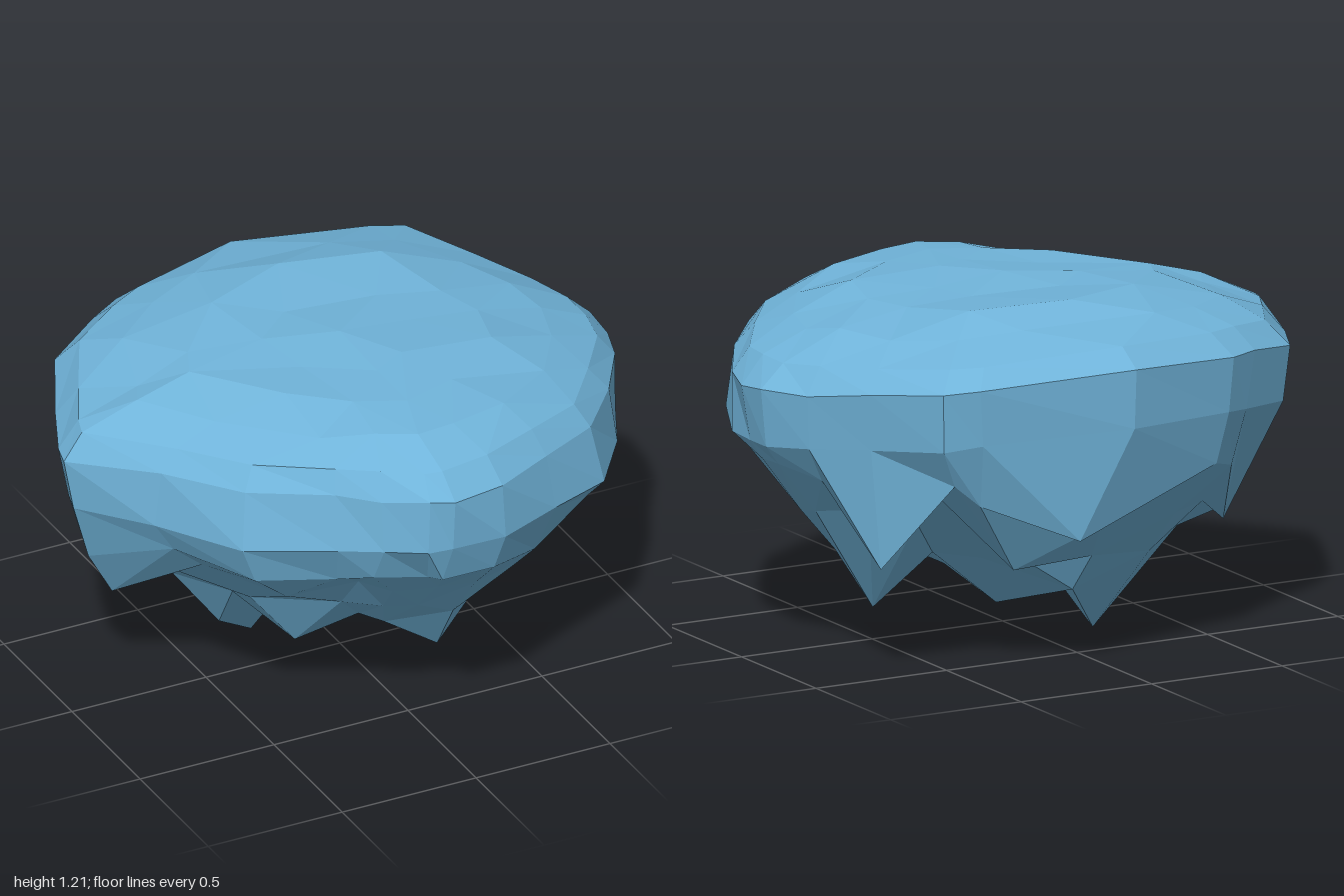
import * as THREE from 'three';

// Rim outline seen from above, as x,z pairs running from +x towards +z
const OUTLINE = [
  [1, 0], [0.97, 0.15], [0.85, 0.4], [0.67, 0.64], [0.42, 0.77], [0.18, 0.87],
  [-0.02, 0.89], [-0.1, 0.87], [-0.24, 0.79], [-0.37, 0.69], [-0.63, 0.5], [-0.8, 0.22],
  [-1, -0.06], [-0.98, -0.14], [-0.9, -0.32], [-0.76, -0.6], [-0.55, -0.73], [-0.43, -0.8],
  [0, -0.9], [0.54, -0.8], [0.66, -0.76], [0.8, -0.52], [0.92, -0.3], [1, -0.13],
];

// Rings from top centre to bottom centre:
// outline scale, height, point count, jitter, change of scale at the front corners
const RINGS = [
  [0, 1.195, 1, 0, 0], [0.27, 1.195, 7, 0.03, 0], [0.52, 1.19, 12, 0.03, 0],
  [0.75, 1.15, 18, 0.025, 0], [0.92, 1.09, 24, 0.012, -0.04], [1, 1.015, 24, 0, -0.06],
  [0.975, 0.82, 24, 0.012, 0.025], [0.91, 0.68, 24, 0.025, 0.02], [0.77, 0.57, 20, 0.03, 0],
  [0.6, 0.43, 16, 0.03, 0], [0.42, 0.3, 12, 0.03, 0], [0.2, 0.22, 7, 0.03, 0],
  [0, 0.19, 1, 0, 0],
];
const LIP = 7;

// Hanging spikes and ledge corners: tip x, y, z and steepness
const SPIKES = [
  [-0.22, 0, -0.22, 1.1], [0.11, 0.11, -0.15, 1], [-0.37, 0.1, -0.16, 1.1],
  [0.18, 0.14, 0.36, 1.15], [0.52, 0.12, -0.04, 1.25], [-0.27, 0.19, 0.2, 1],
  [-0.8, 0.36, -0.1, 1.3], [-0.7, 0.37, -0.27, 1.2], [-0.6, 0.37, -0.43, 1.3],
  [0.74, 0.37, -0.48, 1.9], [0.17, 0.47, -0.82, 1], [0.3, 0.34, -0.6, 1],
  [0, 0.21, -0.47, 1],
];

function seeded(seed) {
  return () => {
    seed = (seed * 16807) % 2147483647;
    return seed / 2147483647 - 0.5;
  };
}

// Point on the closed outline at fraction t
function outlineAt(t) {
  const u = t * OUTLINE.length;
  const a = OUTLINE[Math.floor(u) % OUTLINE.length];
  const b = OUTLINE[(Math.floor(u) + 1) % OUTLINE.length];
  const k = u - Math.floor(u);
  return [a[0] + (b[0] - a[0]) * k, a[1] + (b[1] - a[1]) * k];
}

function makeRings() {
  const rnd = seeded(4211);
  const rings = RINGS.map(([s, y, n, jitter, corner], r) => {
    const ring = [];
    for (let i = 0; i < n; i++) {
      const [ox, oz] = outlineAt(i / n);
      // Front corners bulge out lower down than the other sides
      const diagonal = oz > 0 ? Math.abs(2 * ox * oz) / (ox * ox + oz * oz) : 0;
      const scale = s + corner * diagonal;
      const x = ox * scale + rnd() * 2 * jitter;
      const z = oz * scale + rnd() * 2 * jitter;
      let h = y + rnd() * (jitter || 0.02);
      if (r < LIP) {
        // The dome falls away to the sides and leans a little to the front
        h += 0.02 * z * z - 0.08 * x * x - 0.02 * z;
      } else {
        // Underside is flatter on the left and sinks towards the spikes
        h += 0.07 * Math.max(0, x) * (r < 10 ? 1 : 0);
        for (const [sx, sy, sz, slope] of SPIKES) {
          h = Math.min(h, sy + 0.04 + slope * Math.hypot(x - sx, z - sz));
        }
      }
      ring.push(new THREE.Vector3(x, h, z));
    }
    return ring;
  });
  // Pull the nearest free underside point onto each spike tip
  const free = new Set(rings.slice(LIP).flat());
  for (const [x, y, z] of SPIKES) {
    let best = null, bestD = Infinity;
    for (const p of free) {
      const d = Math.hypot(p.x - x, p.z - z);
      if (d < bestD) { bestD = d; best = p; }
    }
    best.set(x, y, z);
    free.delete(best);
  }
  return rings;
}

// Join an upper and a lower ring that may differ in point count
function stitch(a, b, out) {
  const na = a.length, nb = b.length;
  const ea = na > 1 ? na : 0, eb = nb > 1 ? nb : 0;
  let i = 0, j = 0;
  while (i < ea || j < eb) {
    const p = a[i % na], q = b[j % nb];
    const stepA = j >= eb || (i < ea && (i + 0.5) / na <= (j + 0.5) / nb);
    if (stepA) out.push(p, a[++i % na], q);
    else out.push(p, b[++j % nb], q);
  }
}

export function createModel() {
  const group = new THREE.Group();
  group.name = 'floatingRock';

  const blueStone = new THREE.MeshStandardMaterial({ color: 0x70b4da });
  blueStone.name = 'blueStone';

  const rings = makeRings();
  // Domed cap above the lip, jagged underside below it
  const parts = [['domedCap', 0, LIP], ['jaggedUnderside', LIP, rings.length - 1]];
  for (const [name, from, to] of parts) {
    const points = [];
    for (let r = from; r < to; r++) stitch(rings[r], rings[r + 1], points);
    const geometry = new THREE.BufferGeometry().setFromPoints(points);
    geometry.computeVertexNormals();
    const mesh = new THREE.Mesh(geometry, blueStone);
    mesh.name = name;
    group.add(mesh);
  }
  return group;
}
